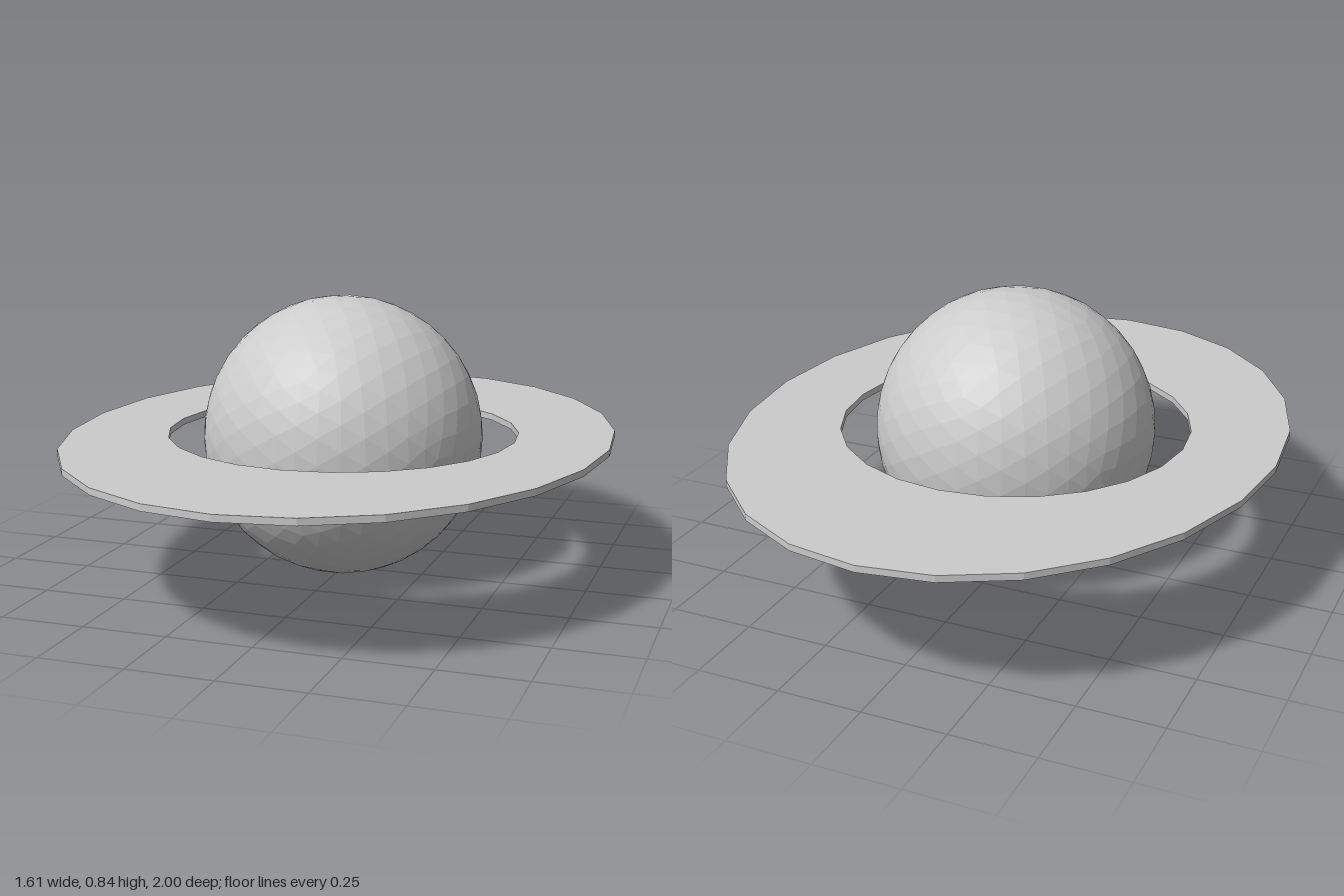
import * as THREE from 'three';

const SIDES = 24;
const RADIUS = 0.42;
const THICKNESS = 0.02;

// Points of a 24-sided ellipse with a corner on each axis
function ellipse(rx, ry) {
  return Array.from({ length: SIDES }, (_, i) => {
    const a = (i / SIDES) * Math.PI * 2;
    return new THREE.Vector2(rx * Math.cos(a), ry * Math.sin(a));
  });
}

export function createModel() {
  const group = new THREE.Group();
  group.name = 'ringedPlanet';
  const material = new THREE.MeshStandardMaterial({ color: 0xcccccc, flatShading: true });

  // Faceted globe
  const planet = new THREE.Mesh(new THREE.IcosahedronGeometry(RADIUS, 6), material);
  planet.name = 'planet';
  planet.position.y = RADIUS;
  group.add(planet);

  // Flat ring: oval outside, round inside
  const shape = new THREE.Shape(ellipse(0.805, 1));
  shape.holes.push(new THREE.Path(ellipse(0.527, 0.527)));
  const ringGeometry = new THREE.ExtrudeGeometry(shape, { depth: THICKNESS, bevelEnabled: false });
  ringGeometry.translate(0, 0, -THICKNESS / 2).rotateX(-Math.PI / 2);
  const ring = new THREE.Mesh(ringGeometry, material);
  ring.name = 'ring';
  ring.position.y = RADIUS + 0.002;
  group.add(ring);

  return group;
}
